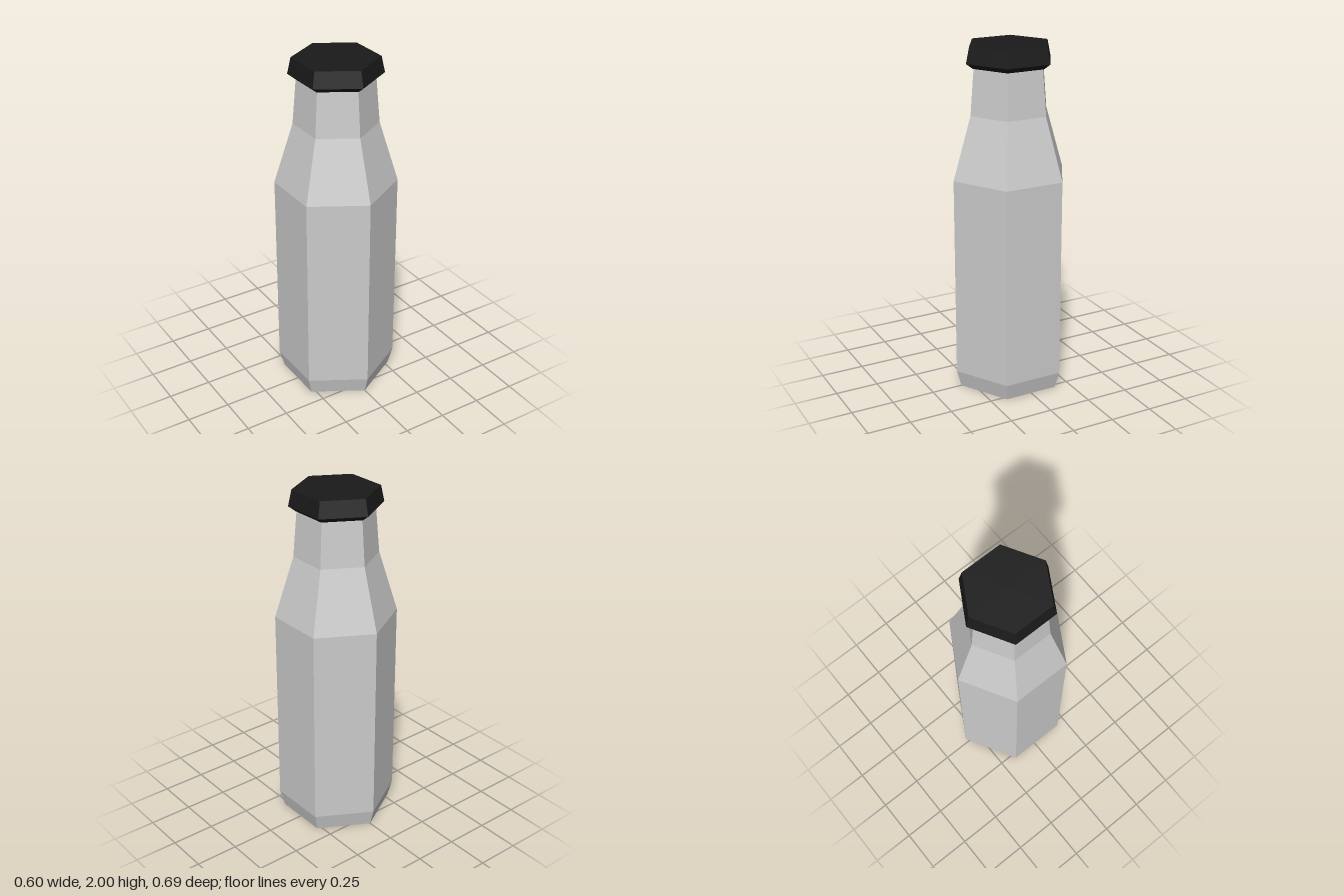
import * as THREE from 'three';

const SIDES = 6;

// Six-sided turned part from a [radius, height] profile, running bottom to top
function hexTurned(name, profile, color) {
  const points = profile.map(([r, y]) => new THREE.Vector2(r, y));
  const mesh = new THREE.Mesh(
    new THREE.LatheGeometry(points, SIDES),
    new THREE.MeshStandardMaterial({ color, flatShading: true })
  );
  mesh.name = name;
  return mesh;
}

export function createModel() {
  const group = new THREE.Group();
  group.name = 'bottle';

  // Body: chamfered foot, straight wall, sloping shoulder, tapered neck
  group.add(hexTurned('bottleBody', [
    [0, 0], [0.317, 0], [0.345, 0.1], [0.345, 1.265],
    [0.237, 1.62], [0.215, 1.88], [0, 1.88],
  ], 0xcccccc));

  // Cap: flared lower rim tapering to a flat top
  group.add(hexTurned('cap', [
    [0, 1.878], [0.22, 1.878], [0.26, 1.908], [0.24, 2], [0, 2],
  ], 0x1a1a1a));

  return group;
}
